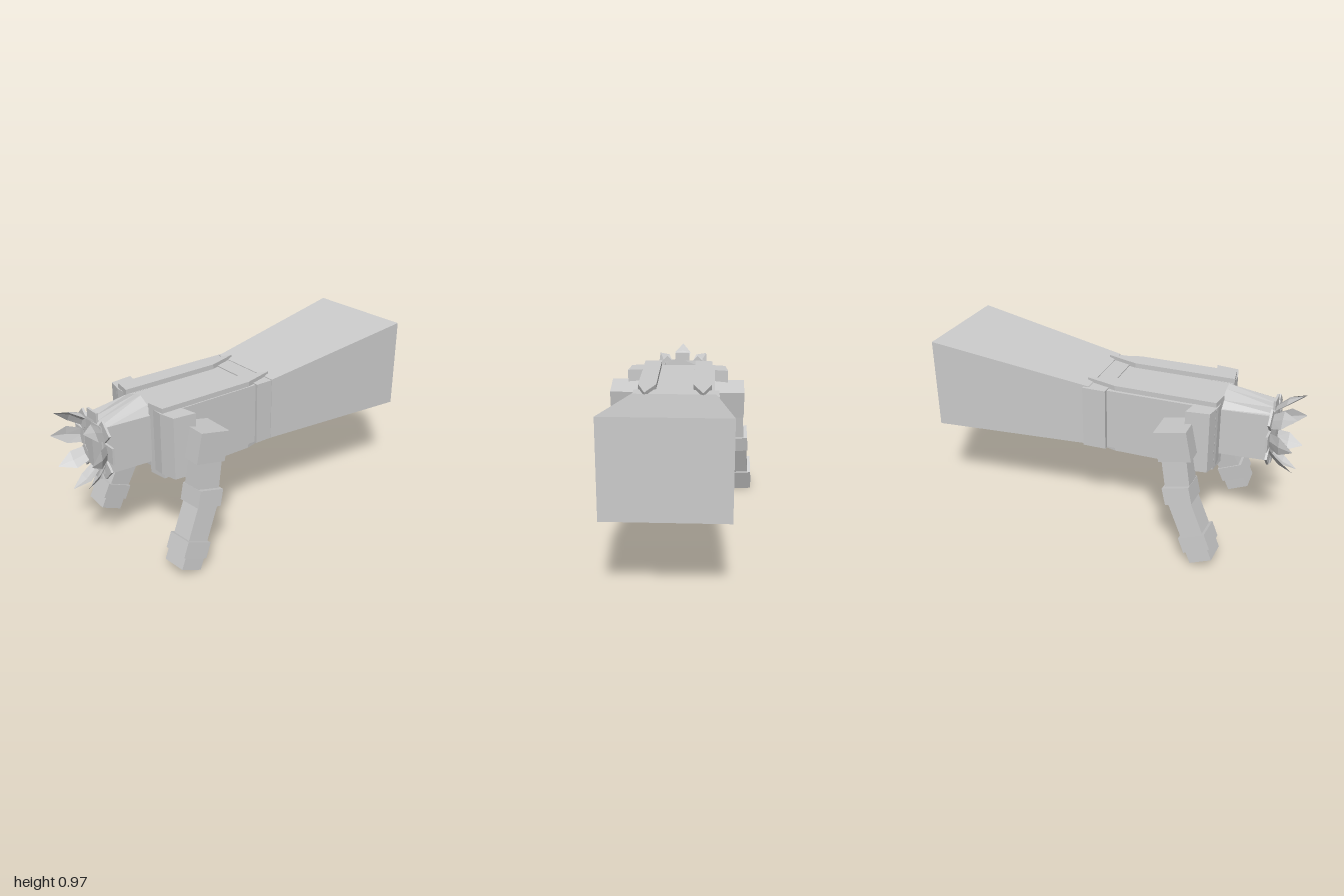
import * as THREE from 'three';

const material = new THREE.MeshStandardMaterial({ color: 0xcccccc, flatShading: true, side: THREE.DoubleSide });

export function createModel() {
  const model = new THREE.Group();

  const add = (name, geometry, parent = model) => {
    const mesh = new THREE.Mesh(geometry, material);
    mesh.name = name;
    parent.add(mesh);
    return mesh;
  };

  // Box given by its limits on each axis
  const block = (name, x0, x1, y0, y1, z0, z1) =>
    add(name, new THREE.BoxGeometry(x1 - x0, y1 - y0, z1 - z0)
      .translate((x0 + x1) / 2, (y0 + y1) / 2, (z0 + z1) / 2));

  // Plan outline of [x, z] points raised from y0 to y1
  const prism = (name, points, y0, y1) => {
    const shape = new THREE.Shape(points.map(([x, z]) => new THREE.Vector2(x, -z)));
    const geometry = new THREE.ExtrudeGeometry(shape, { depth: y1 - y0, bevelEnabled: false });
    return add(name, geometry.rotateX(-Math.PI / 2).translate(0, y0, 0));
  };

  // Box limb running from one centre point to another
  const limb = (name, from, to, width, depth, parent) => {
    const a = new THREE.Vector3(...from), b = new THREE.Vector3(...to);
    const yAxis = a.clone().sub(b).normalize();
    const zAxis = new THREE.Vector3(1, 0, 0).cross(yAxis).normalize();
    const xAxis = yAxis.clone().cross(zAxis);
    const mesh = add(name, new THREE.BoxGeometry(width, a.distanceTo(b), depth), parent);
    mesh.quaternion.setFromRotationMatrix(new THREE.Matrix4().makeBasis(xAxis, yAxis, zAxis));
    mesh.position.copy(a).add(b).multiplyScalar(0.5);
  };

  // Body and rear collar
  block('body', -0.225, 0.215, 0.48, 0.82, -0.05, 0.6);
  block('rearCollar', -0.25, 0.23, 0.478, 0.826, -0.13, 0);

  // Tail, a box flaring towards the back
  const tail = new THREE.BoxGeometry(2, 1, 1);
  const tp = tail.attributes.position;
  for (let i = 0; i < tp.count; i++) {
    const back = tp.getZ(i) < 0, top = tp.getY(i) > 0;
    tp.setXYZ(i,
      tp.getX(i) * (back ? 0.312 : 0.233),
      top ? (back ? 0.98 : 0.83) : (back ? 0.475 : 0.48),
      back ? -1 : -0.1);
  }
  tail.computeVertexNormals();
  add('tail', tail);

  // Rails with pointed back ends, and shoulder plates
  for (const s of [1, -1]) {
    prism('rail', [[0.105, 0.61], [0.105, 0.04], [0.16, -0.135], [0.208, 0.04], [0.208, 0.595]]
      .map(([x, z]) => [s * x, z]), 0.453, 0.847);
    prism('shoulderPlate', [[0.1, 0.605], [0.2, 0.605], [0.29, 0.585], [0.305, 0.46], [0.21, 0.48], [0.1, 0.48]]
      .map(([x, z]) => [s * x, z]), 0.479, 0.821);
  }

  // Head with a faceted front
  prism('head', [[-0.145, 0.58], [-0.123, 0.865], [-0.015, 0.875], [0.075, 0.872], [0.097, 0.865], [0.118, 0.58]], 0.52, 0.78);

  // Crest sloping down from the body to the front of the head
  const rear = [[-0.14, 0.775], [-0.11, 0.82], [-0.03, 0.848], [0.02, 0.857], [0.08, 0.825], [0.115, 0.775]];
  const front = [-0.123, -0.1, -0.03, 0.02, 0.075, 0.097];
  const crestPoints = [], crestFaces = [];
  rear.forEach(([x, y], i) => {
    crestPoints.push(x, y, 0.6, front[i], i % 5 ? 0.785 : 0.775, 0.867);
    if (i < 5) {
      const k = i * 2;
      crestFaces.push(k, k + 1, k + 3, k, k + 3, k + 2);
    }
    if (i > 0 && i < 5) crestFaces.push(0, i * 2, i * 2 + 2);
  });
  const crest = new THREE.BufferGeometry();
  crest.setAttribute('position', new THREE.Float32BufferAttribute(crestPoints, 3));
  crest.setIndex(crestFaces);
  crest.computeVertexNormals();
  add('crest', crest);

  // Eight petals around the face, each with a flat root plate
  const petalRows = [[0.04, 0.125, 0.865], [0.05, 0.175, 0.925], [0.002, 0.215, 1]];
  for (let i = 0; i < 8; i++) {
    const ring = new THREE.Group();
    ring.name = 'petal';
    ring.position.set(-0.014, 0.652, 0);
    ring.rotation.z = i * Math.PI / 4;
    model.add(ring);
    const petal = new THREE.PlaneGeometry(1, 1, 2, 2);
    const p = petal.attributes.position;
    petalRows.forEach(([half, r, z], row) => {
      for (let c = 0; c < 3; c++) p.setXYZ(row * 3 + c, (c - 1) * half, r + (c === 1 && row < 2 ? 0.01 : 0), z);
    });
    petal.computeVertexNormals();
    add('petalBlade', petal, ring);
    add('petalRoot', new THREE.BoxGeometry(0.09, 0.085, 0.012).translate(0, 0.142, 0.863), ring);
  }

  // Arms
  for (const s of [1, -1]) {
    const arm = new THREE.Group();
    arm.name = s > 0 ? 'leftArm' : 'rightArm';
    model.add(arm);
    const part = (name, from, to, width, depth) =>
      limb(name, [s * from[0], from[1], from[2]], [s * to[0], to[1], to[2]], width, depth, arm);
    part('shoulder', [0.3, 0.738, 0.41], [0.3, 0.575, 0.443], 0.205, 0.177);
    part('upperArm', [0.342, 0.6, 0.435], [0.351, 0.42, 0.465], 0.112, 0.135);
    part('elbow', [0.354, 0.43, 0.459], [0.361, 0.34, 0.482], 0.15, 0.147);
    part('forearm', [0.361, 0.36, 0.477], [0.38, 0.16, 0.567], 0.125, 0.125);
    part('wrist', [0.384, 0.175, 0.565], [0.39, 0.095, 0.599], 0.152, 0.15);
    part('hand', [0.388, 0.11, 0.592], [0.393, 0.035, 0.624], 0.145, 0.125);
  }

  return model;
}
